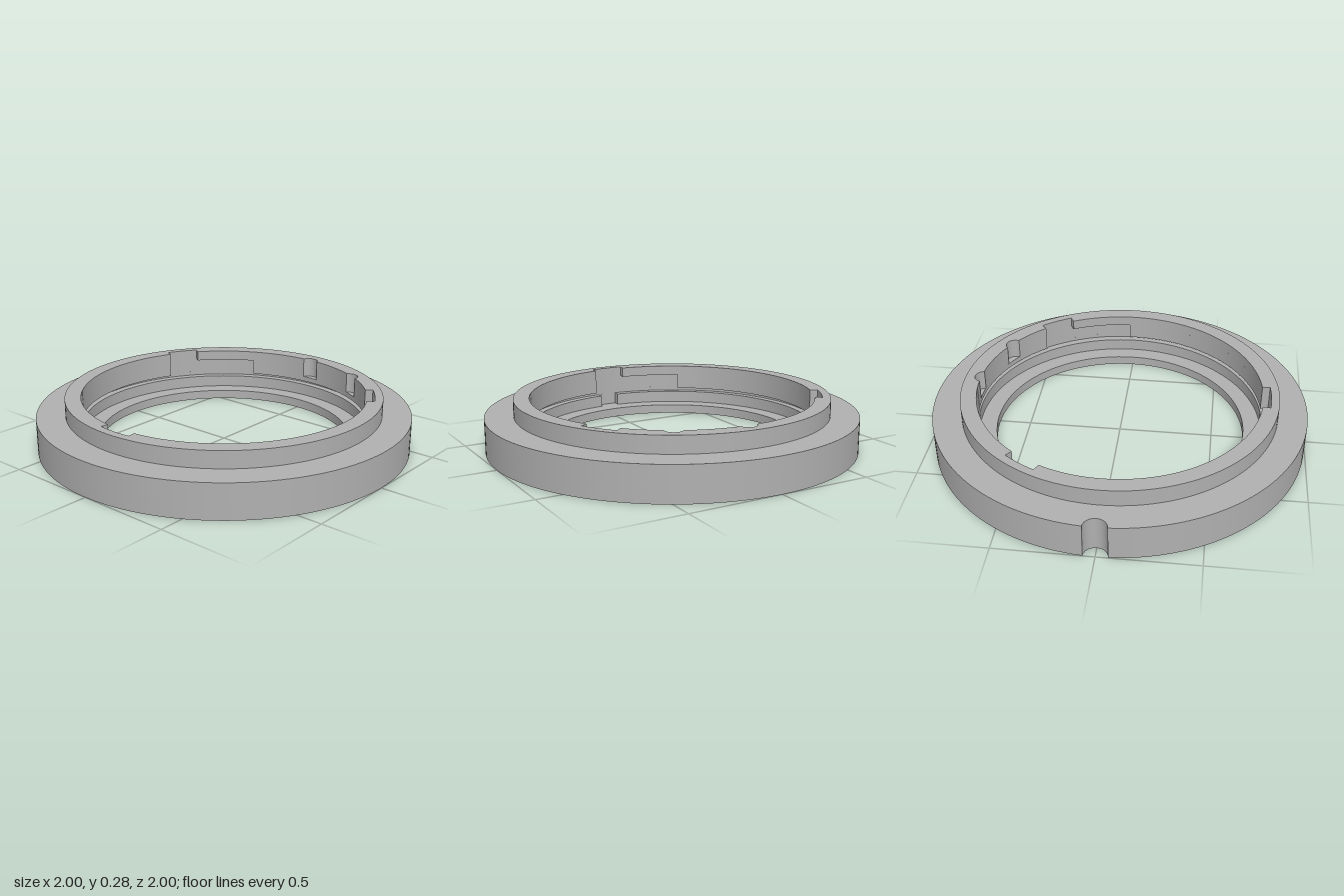
import * as THREE from 'three';
import { toCreasedNormals } from 'three/addons/utils/BufferGeometryUtils.js';

const rad = THREE.MathUtils.degToRad;
const polar = (r, deg) => new THREE.Vector2(r * Math.cos(rad(deg)), r * Math.sin(rad(deg)));

// Points along an arc about the axis, angles running from +x towards the back
function arc(r, from, to) {
  const n = Math.max(1, Math.ceil((to - from) / 2.5));
  return Array.from({ length: n + 1 }, (_, i) => polar(r, from + (to - from) * i / n));
}

// Rounded pocket bulging outwards from the bore
function pocketPoints(deg) {
  const c = polar(0.75, deg), pts = [];
  for (let a = -80; a <= 80; a += 16) pts.push(polar(0.048, deg + a).add(c));
  return pts;
}

// Outer outline of the flange, with the half-round notch on one side
function flangeOutline() {
  const pts = arc(1, -176.56, 176.56);
  for (let a = 75; a >= -75; a -= 15) pts.push(polar(0.06, a).add(new THREE.Vector2(-1, 0)));
  return pts;
}

// Bore outline with wider recesses [from, to] and rounded pockets [angle]
function boreOutline(r, recesses = [], pockets = []) {
  const cuts = [
    ...recesses.map(([a, b]) => ({ a, b, pts: arc(0.803, a, b) })),
    ...pockets.map(p => ({ a: p - 3.6, b: p + 3.6, pts: pocketPoints(p) })),
  ].sort((p, q) => p.a - q.a);
  if (!cuts.length) return arc(r, 0, 357.5);
  const pts = [];
  cuts.forEach((cut, i) => {
    const next = i + 1 < cuts.length ? cuts[i + 1].a : cuts[0].a + 360;
    pts.push(...cut.pts, ...arc(r, cut.b, next));
  });
  return pts;
}

export function createModel() {
  const group = new THREE.Group();
  const metal = new THREE.MeshStandardMaterial({ color: 0xb0b0b0 });
  metal.name = 'grey metal';

  function layer(name, y0, y1, outer, bore) {
    const shape = new THREE.Shape(outer);
    shape.holes.push(new THREE.Path(bore));
    const geo = new THREE.ExtrudeGeometry(shape, { depth: y1 - y0, bevelEnabled: false });
    geo.rotateX(-Math.PI / 2);
    const mesh = new THREE.Mesh(toCreasedNormals(geo, 0.5), metal);
    mesh.name = name;
    mesh.position.y = y0;
    group.add(mesh);
  }

  const entries = [[28, 41.5], [143, 156], [263.2, 276.8]];
  const slots = entries.map(([a, b]) => [a - 26, b]); // entry plus locking slot
  const pockets = [60.4, 88.2];
  const flange = flangeOutline();
  const collar = arc(0.847, 0, 357.5);

  // Flange: bottom lip, lower bore, ring groove, locking slots
  layer('bottomLip', 0, 0.05, flange, boreOutline(0.67));
  layer('lowerBore', 0.05, 0.115, flange, boreOutline(0.762, [[265.9, 274.1]]));
  layer('ringGroove', 0.115, 0.137, flange, boreOutline(0.803));
  layer('slotBase', 0.137, 0.165, flange, boreOutline(0.762, slots));
  layer('flangeTop', 0.165, 0.185, flange, boreOutline(0.762, slots, pockets));

  // Collar: slots continue below, entries open at the rim
  layer('collarSlots', 0.185, 0.22, collar, boreOutline(0.762, slots, pockets));
  layer('collarRim', 0.22, 0.275, collar, boreOutline(0.762, entries, pockets));

  return group;
}
